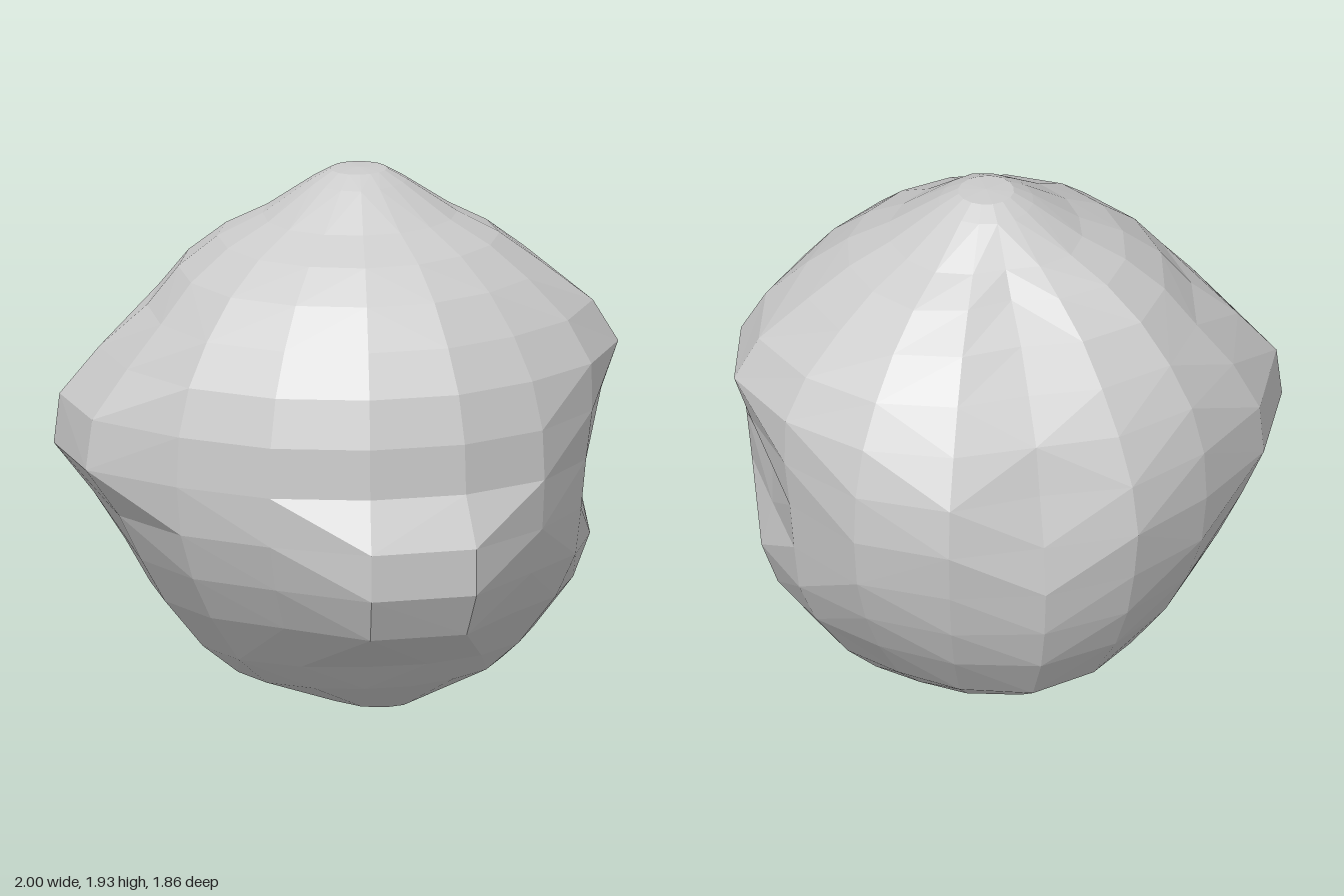
import * as THREE from 'three';

const SIDES = 16;
const AXIS = { x: 0.08, z: -0.07 };

// Ring heights from the top down
const HEIGHTS = [1.93, 1.89, 1.77, 1.69, 1.58, 1.44, 1.29, 1.12, 0.94, 0.76, 0.59, 0.43, 0.25, 0.14, 0.05];

// Ring radii: the plain round body, and the four cardinal directions
const ROUND = [0.10, 0.17, 0.35, 0.50, 0.64, 0.76, 0.85, 0.90, 0.91, 0.89, 0.83, 0.74, 0.60, 0.46, 0.22];
const LEFT = [0.10, 0.17, 0.35, 0.50, 0.65, 0.83, 0.92, 0.89, 0.85, 0.82, 0.82, 0.76, 0.62, 0.51, 0.19];
const FRONT = [0.10, 0.19, 0.35, 0.51, 0.64, 0.75, 0.84, 0.89, 0.90, 0.89, 0.83, 0.74, 0.57, 0.45, 0.26];
const RIGHT = [0.10, 0.17, 0.34, 0.50, 0.64, 0.75, 0.92, 1.06, 1.08, 0.94, 0.83, 0.74, 0.59, 0.46, 0.24];
const BACK = [0.10, 0.17, 0.29, 0.37, 0.51, 0.62, 0.73, 0.78, 0.84, 0.87, 0.85, 0.80, 0.68, 0.50, 0.18];
const scaled = (k) => ROUND.map((r) => r * k);

// Profiles every 45 degrees, from +x towards the front
const PROFILES = [LEFT, scaled(0.98), FRONT, scaled(1.05), RIGHT, ROUND, BACK, ROUND];

// Lumps (+) and dents (-): the side they centre on, their spread, and depth by ring
const BUMPS = [
  { side: 3.5, spread: 0.9, depth: { 9: 0.14, 10: 0.22, 11: 0.23 } },
  { side: 0, spread: 0.8, depth: { 7: -0.03, 8: -0.07, 9: -0.04 } },
  { side: 7, spread: 0.5, depth: { 7: 0.04, 8: 0.05 } },
  { side: 11, spread: 0.5, depth: { 7: 0.03, 8: 0.03 } },
  { side: 13, spread: 0.5, depth: { 7: 0.04, 8: 0.03 } },
];

function radius(ring, side) {
  const low = Math.floor(side / 2);
  const high = Math.ceil(side / 2) % PROFILES.length;
  let r = (PROFILES[low][ring] + PROFILES[high][ring]) / 2;
  for (const { side: centre, spread, depth } of BUMPS) {
    const gap = Math.abs(side - centre);
    const d = Math.min(gap, SIDES - gap) / spread;
    r += (depth[ring] || 0) * Math.exp(-d * d);
  }
  return r;
}

function rockGeometry() {
  const pos = [];
  const index = [];
  const last = HEIGHTS.length - 1;

  // Rings of vertices; the lowest ring tilts down towards the left
  HEIGHTS.forEach((h, ring) => {
    for (let s = 0; s < SIDES; s++) {
      const a = s / SIDES * Math.PI * 2;
      const r = radius(ring, s);
      const y = ring === last ? 0.035 - 0.035 * Math.cos(a - 0.2) : h;
      pos.push(AXIS.x + r * Math.cos(a), y, AXIS.z + r * Math.sin(a));
    }
  });
  const top = pos.length / 3;
  pos.push(AXIS.x, 1.935, AXIS.z, 0.16, 0, 0);

  // Walls between rings, each split along its outward diagonal
  const point = (i) => new THREE.Vector3().fromArray(pos, i * 3);
  const middle = (i, j) => {
    const m = point(i).add(point(j)).multiplyScalar(0.5);
    return Math.hypot(m.x - AXIS.x, m.y - 0.94, m.z - AXIS.z);
  };
  for (let s = 0; s < SIDES; s++) {
    const n = (s + 1) % SIDES;
    for (let ring = 0; ring < last; ring++) {
      const a = ring * SIDES + s, b = ring * SIDES + n;
      const c = a + SIDES, d = b + SIDES;
      if (middle(b, c) > middle(a, d)) index.push(a, b, c, b, d, c);
      else index.push(a, b, d, a, d, c);
    }
    // Fans closing both ends
    index.push(top, n, s, top + 1, last * SIDES + s, last * SIDES + n);
  }

  const geo = new THREE.BufferGeometry();
  geo.setAttribute('position', new THREE.Float32BufferAttribute(pos, 3));
  geo.setIndex(index);
  geo.computeVertexNormals();
  return geo;
}

export function createModel() {
  const group = new THREE.Group();
  group.name = 'boulder';
  const material = new THREE.MeshStandardMaterial({ color: 0xcccccc, flatShading: true });
  const rock = new THREE.Mesh(rockGeometry(), material);
  rock.name = 'rock';
  group.add(rock);
  return group;
}
